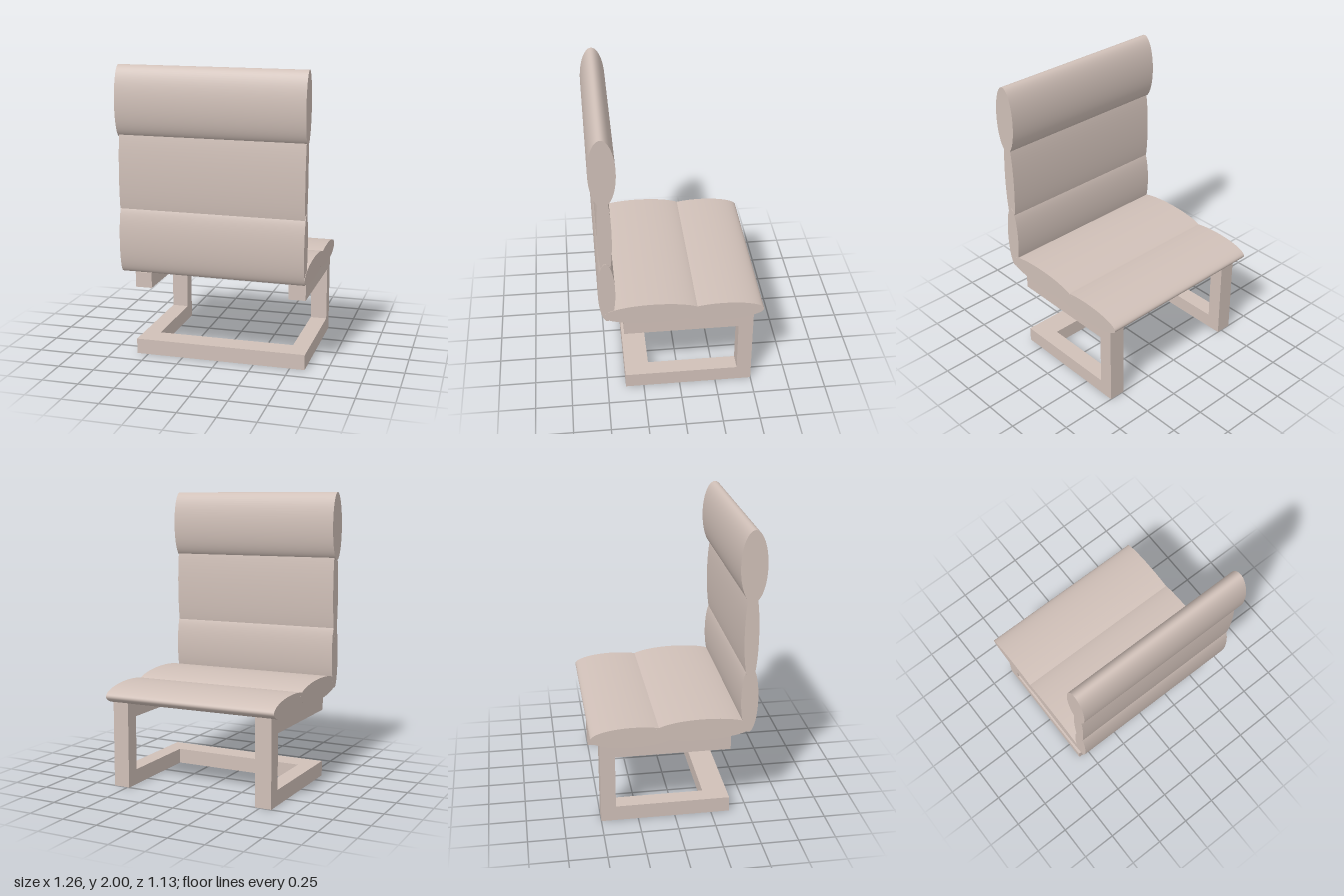
import * as THREE from 'three';

const material = new THREE.MeshStandardMaterial({ color: 0xd0c0b8 });

// Cushion: an elliptical roll lying along x
function cushion(name, y, z, ry, rz, width, roll = -0.006) {
  const geometry = new THREE.CylinderGeometry(1, 1, width, 72);
  geometry.rotateZ(Math.PI / 2);
  geometry.scale(1, ry, rz);
  const mesh = new THREE.Mesh(geometry, material);
  mesh.name = name;
  mesh.position.set(-0.002, y, z);
  mesh.rotation.z = roll;
  return mesh;
}

// C-shaped side frame, drawn in (z, y) and extruded along x
function sideFrame(name, xMin, width) {
  const shape = new THREE.Shape([
    [0.375, 0], [0.375, 0.105], [-0.4, 0.105], [-0.4, 0.48], [0.375, 0.48],
    [0.375, 0.585], [-0.4, 0.585], [-0.5, 0.6], [-0.5, 0],
  ].map(([z, y]) => new THREE.Vector2(z, y)));
  const geometry = new THREE.ExtrudeGeometry(shape, { depth: width, bevelEnabled: false });
  geometry.rotateY(-Math.PI / 2);
  geometry.translate(xMin + width, 0, 0);
  const mesh = new THREE.Mesh(geometry, material);
  mesh.name = name;
  return mesh;
}

export function createModel() {
  const chair = new THREE.Group();
  chair.name = 'cantileverChair';

  // Backrest and seat cushions
  chair.add(
    cushion('headrest', 1.763, 0.481, 0.235, 0.086, 1.255),
    cushion('middleBackCushion', 1.3, 0.481, 0.33, 0.047, 1.242),
    cushion('lowerBackCushion', 0.855, 0.482, 0.235, 0.057, 1.244),
    cushion('innerSeatCushion', 0.66, 0.18, 0.075, 0.33, 1.246),
    cushion('outerSeatCushion', 0.638, -0.286, 0.071, 0.278, 1.244),
  );

  // Base frame: two sides joined by a floor bar
  const base = new THREE.Group();
  base.name = 'baseFrame';
  base.add(sideFrame('rightSideFrame', -0.58, 0.115), sideFrame('leftSideFrame', 0.487, 0.115));
  const bar = new THREE.Mesh(new THREE.BoxGeometry(0.952, 0.105, 0.165), material);
  bar.name = 'floorCrossbar';
  bar.position.set(0.011, 0.0525, 0.2925);
  base.add(bar);
  chair.add(base);

  return chair;
}
